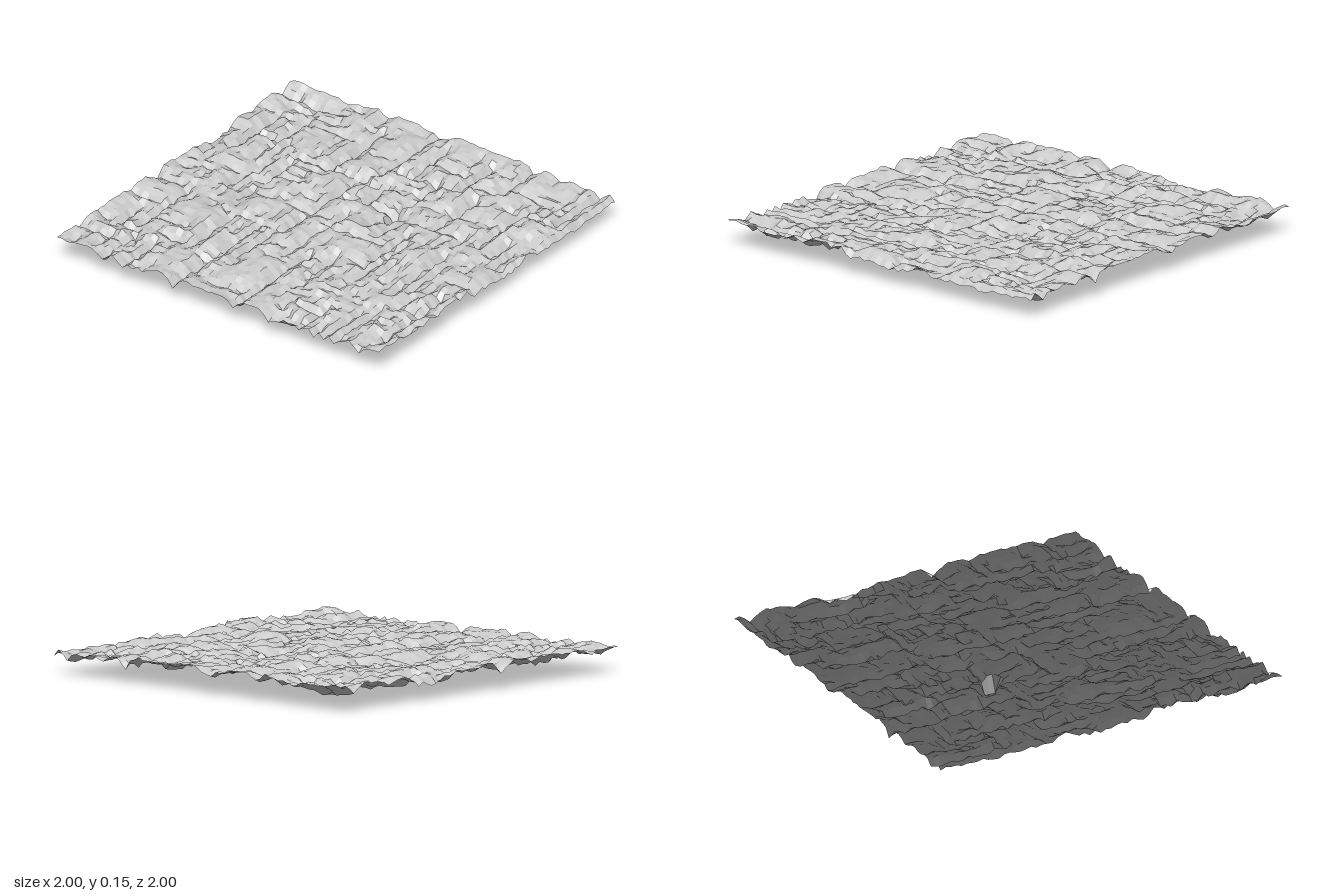
import * as THREE from 'three';

const CELLS = 64, STEP = 2 / CELLS;

// Joints running along x: z, start x, end x
const LONG_JOINTS = [
  [-0.89, -0.65, -0.45], [-0.89, 0.32, 0.7], [-0.79, -0.6, -0.15], [-0.73, -1, -0.7],
  [-0.75, 0.3, 0.75], [-0.67, 0, 0.5], [-0.61, -1, -0.73], [-0.55, -0.1, 0.35],
  [-0.45, -0.65, -0.25], [-0.36, 0.4, 0.87], [-0.3, -1, -0.25], [-0.21, -0.6, -0.3],
  [-0.18, -0.25, 0.4], [-0.12, 0.6, 1], [-0.02, -0.45, -0.25], [-0.02, 0.25, 0.45],
  [0.02, 0.6, 0.9], [0.09, -1, -0.35], [0.2, -0.8, -0.3], [0.17, 0.35, 0.6],
  [0.24, 0, 0.25], [0.3, -1, -0.72], [0.3, 0.6, 0.9], [0.36, -0.2, 0.1],
  [0.42, -0.55, 0], [0.42, 0.25, 0.6], [0.49, -1, -0.74], [0.49, 0.7, 1],
  [0.64, -1, -0.63], [0.64, -0.45, 0.05], [0.71, -1, -0.6], [0.71, -0.35, -0.05],
  [0.71, 0.2, 0.7], [0.89, -0.9, -0.35], [0.89, 0.62, 1], [0.88, 0.08, 0.4],
  [0.98, -0.2, 0.2], [0.98, 0.35, 1],
];
// Joints running along z: x, start z, end z
const CROSS_JOINTS = [
  [-0.82, -1, -0.6], [-0.88, -0.3, 0.1], [-0.66, -0.95, -0.75], [-0.7, 0.1, 0.3],
  [-0.62, 0.4, 0.9], [-0.26, -0.5, -0.2], [-0.36, -0.2, 0.2], [-0.2, -1, -0.6],
  [-0.05, 0, 0.4], [-0.2, 0.7, 1], [0, -0.45, 0], [0.14, -0.9, -0.65],
  [0.22, 0.3, 0.7], [0.25, 0, 0.24], [0.42, -0.6, 0], [0.6, 0.6, 1],
  [0.72, -0.8, -0.3], [0.78, 0.45, 0.9], [0.9, -1, -0.6], [0.6, 0, 0.3],
];
// Sunken areas: x, z, radius, depth
const HOLLOWS = [
  [0.18, 0.19, 0.15, 0.035], [0.88, -0.8, 0.14, 0.02], [0.85, 0.75, 0.16, 0.02],
  [-0.9, 0.85, 0.14, 0.014], [-0.92, -0.1, 0.12, 0.012],
];

function seeded(seed) {
  return () => {
    seed = (seed * 1664525 + 1013904223) % 4294967296;
    return seed / 4294967296;
  };
}

function createHeights() {
  const rand = seeded(17);
  const snap = v => Math.round(v / STEP) * STEP;
  const joints = [];
  const add = (alongX, at, from, to, depth) => joints.push({ alongX, at: snap(at), from, to, depth });
  // The steep face lies half a cell behind the bottom of each long joint
  LONG_JOINTS.forEach(([z, from, to]) => add(true, z + STEP / 2, from, to, 0.042 + rand() * 0.02));
  CROSS_JOINTS.forEach(j => add(false, ...j, 0.025 + rand() * 0.02));

  // Shorter fissures break the remaining faces into smaller stones
  for (let i = 0; i < 260; i++) {
    const alongX = rand() < 0.55;
    const from = rand() * 2.1 - 1.1;
    add(alongX, rand() * 2 - 1, from, from + 0.03 + rand() * 0.13, 0.015 + rand() * 0.033);
  }

  return (x, z) => {
    let dip = 0;
    for (const j of joints) {
      const [across, along] = j.alongX ? [z, x] : [x, z];
      const past = Math.max(j.from - along, along - j.to, 0);
      const d = Math.hypot(across - j.at, past);
      dip = Math.max(dip, j.depth * Math.exp(-((d / 0.035) ** 2)));
    }
    // Uneven joint depth, gentle swell, rough grain and hollows
    dip *= 0.75 + rand() * 0.5;
    const swell = 0.004 * Math.sin(x * 9 + z * 4) + 0.004 * Math.sin(z * 13 - x * 5);
    let y = 0.137 + swell - dip + (rand() - 0.5) * 0.012;
    for (const [hx, hz, r, depth] of HOLLOWS) {
      y -= depth * Math.exp(-((x - hx) ** 2 + (z - hz) ** 2) / r ** 2);
    }
    // One deep pit with a sloping rim
    const pit = Math.hypot(Math.max(Math.abs(x - 0.22) - 0.033, 0), snap(z - 0.19));
    return THREE.MathUtils.clamp(y, 0.045, 0.15) * Math.min(1, pit / 0.032);
  };
}

// Gives the two triangles of every cell one shared normal, so each cell reads as a single facet
function facetCells(sheet) {
  const facets = sheet.toNonIndexed();
  facets.computeVertexNormals();
  const normal = facets.attributes.normal;
  const a = new THREE.Vector3(), b = new THREE.Vector3();
  for (let i = 0; i < normal.count; i += 6) {
    a.fromBufferAttribute(normal, i).add(b.fromBufferAttribute(normal, i + 3)).normalize();
    for (let k = 0; k < 6; k++) normal.setXYZ(i + k, a.x, a.y, a.z);
  }
  return facets;
}

export function createModel() {
  const group = new THREE.Group();
  group.name = 'stoneGround';

  // Square sheet raised into rows of rough stones
  const sheet = new THREE.PlaneGeometry(2, 2, CELLS, CELLS).rotateX(-Math.PI / 2);
  const height = createHeights();
  const pos = sheet.attributes.position;
  for (let i = 0; i < pos.count; i++) pos.setY(i, height(pos.getX(i), pos.getZ(i)));

  const stones = new THREE.Mesh(facetCells(sheet), new THREE.MeshStandardMaterial({
    color: 0xcccccc, side: THREE.DoubleSide,
  }));
  stones.name = 'stoneSurface';
  group.add(stones);
  return group;
}
